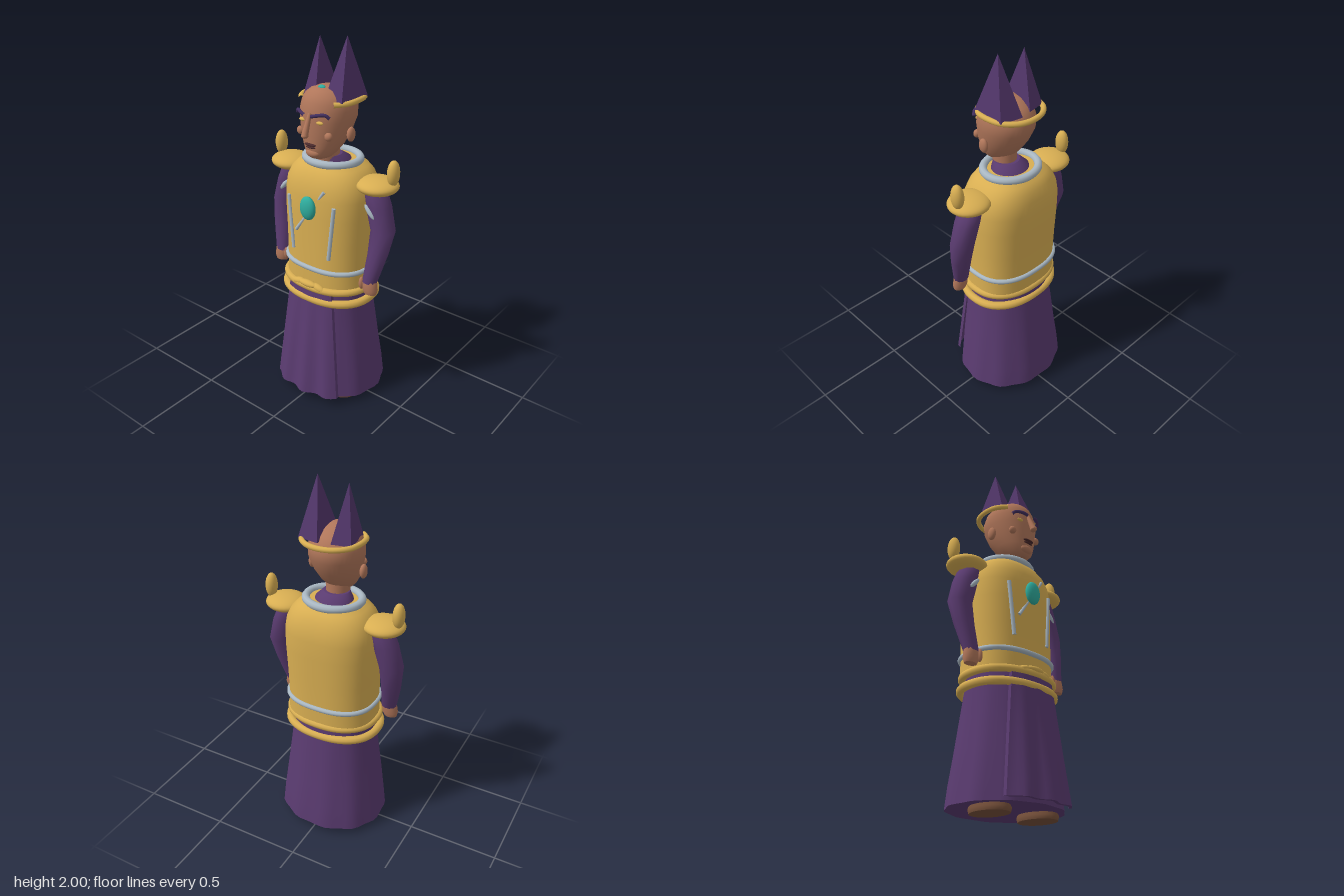
import * as THREE from 'three';

const mat = (name, color) => {
  const m = new THREE.MeshStandardMaterial({ color });
  m.name = name;
  return m;
};

// Closed body through rings [y, rx, rz, cx, cz], listed upwards; p > 2 squares the outline
function loft(rings, n = 32, p = 2, wave = () => 1) {
  const bottom = rings[0], top = rings[rings.length - 1];
  const cap = (r) => [r[0], 0, 0, r[3], r[4]];
  const all = [cap(bottom), bottom, ...rings, top, cap(top)];
  const pos = [], idx = [];
  const pw = (v) => Math.sign(v) * Math.abs(v) ** (2 / p);
  all.forEach(([y, rx, rz, cx = 0, cz = 0], j) => {
    for (let i = 0; i < n; i++) {
      const a = (i / n) * Math.PI * 2, w = wave(a, y);
      pos.push(cx + rx * w * pw(Math.cos(a)), y, cz + rz * w * pw(Math.sin(a)));
      if (j === all.length - 1) continue;
      const k = (i + 1) % n, b = j * n, t = b + n;
      idx.push(b + i, t + i, b + k, b + k, t + i, t + k);
    }
  });
  const g = new THREE.BufferGeometry();
  g.setAttribute('position', new THREE.Float32BufferAttribute(pos, 3));
  g.setIndex(idx);
  g.computeVertexNormals();
  return g;
}

export function createModel() {
  const model = new THREE.Group();
  model.name = 'robedFigure';
  const purple = mat('purpleCloth', 0x5a3b70);
  const horn = mat('darkPurple', 0x52366a);
  horn.flatShading = true;
  const gold = mat('gold', 0xd8ae52);
  const skin = mat('skin', 0xb0765a);
  const silver = mat('silver', 0xa9b7c2);
  const teal = mat('teal', 0x2fae9f);
  const sole = mat('brownLeather', 0x76503a);
  const brow = mat('browPurple', 0x43305f);
  const dark = mat('mouthDark', 0x4a2a2c);

  const add = (name, geo, m, x = 0, y = 0, z = 0) => {
    const mesh = new THREE.Mesh(geo, m);
    mesh.name = name;
    mesh.position.set(x, y, z);
    model.add(mesh);
    return mesh;
  };
  const ball = (name, m, x, y, z, rx, ry, rz, seg = 24) => {
    const b = add(name, new THREE.SphereGeometry(1, seg, Math.ceil(seg * 0.67)), m, x, y, z);
    b.scale.set(rx, ry, rz);
    return b;
  };
  const v = (a) => new THREE.Vector3(...a);
  const bar = (name, m, a, b, r, r2 = r) => {
    const A = v(a), B = v(b), d = B.clone().sub(A);
    const mesh = add(name, new THREE.CylinderGeometry(r2, r, d.length(), 10), m);
    mesh.position.copy(A).add(B).multiplyScalar(0.5);
    mesh.quaternion.setFromUnitVectors(new THREE.Vector3(0, 1, 0), d.normalize());
    return mesh;
  };
  const tube = (name, m, pts, r, closed = false) =>
    add(name, new THREE.TubeGeometry(new THREE.CatmullRomCurve3(pts.map(v), closed), 64, r, 10, closed), m);
  // Horizontal ring following a (squared) ellipse
  const ring = (name, m, y, rx, rz, cz, r, p = 2) => {
    const pts = [];
    for (let i = 0; i < 32; i++) {
      const a = (i / 32) * Math.PI * 2, c = Math.cos(a), s = Math.sin(a);
      pts.push([rx * Math.sign(c) * Math.abs(c) ** (2 / p), y, cz + rz * Math.sign(s) * Math.abs(s) ** (2 / p)]);
    }
    return tube(name, m, pts, r, true);
  };

  // Skirt with soft folds that grow towards the hem
  add('skirt', loft([
    [0.035, 0.305, 0.265, 0, -0.02], [0.15, 0.292, 0.257, 0, -0.018], [0.3, 0.273, 0.24, 0, -0.012],
    [0.45, 0.253, 0.224, 0, -0.01], [0.6, 0.235, 0.208, 0, -0.005], [0.7, 0.228, 0.198, 0, -0.005],
  ], 48, 2.1, (a, y) => 1 + 0.018 * (1 - y / 0.75) * Math.cos(11 * a + 1)), purple);

  // Front panel: a thin sheet that widens, bows and ripples downwards
  const panel = new THREE.BoxGeometry(2, 1, 0.02, 20, 8, 1);
  const pp = panel.attributes.position;
  for (let i = 0; i < pp.count; i++) {
    const u = pp.getX(i), t = 0.5 - pp.getY(i);
    const z = 0.188 + 0.08 * t - (0.025 + 0.03 * t) * u * u + 0.012 * t * Math.cos(9 * u - 0.8);
    pp.setXYZ(i, u * (0.14 + 0.075 * t), 0.7 - 0.65 * t, z + pp.getZ(i));
  }
  panel.computeVertexNormals();
  add('frontPanel', panel, purple);

  // Torso armour
  add('torso', loft([
    [0.7, 0.25, 0.195, 0, -0.015], [0.8, 0.245, 0.195, 0, -0.015], [0.95, 0.248, 0.196, 0, -0.018],
    [1.1, 0.254, 0.2, 0, -0.02], [1.2, 0.253, 0.2, 0, -0.022], [1.26, 0.243, 0.192, 0, -0.022],
    [1.31, 0.218, 0.175, 0, -0.022], [1.345, 0.185, 0.152, 0, -0.022], [1.37, 0.14, 0.12, 0, -0.02],
  ], 48, 2.5), gold);
  ring('waistBand', silver, 0.8, 0.246, 0.197, -0.015, 0.014, 2.5);
  ring('upperBelt', gold, 0.69, 0.248, 0.198, -0.005, 0.02, 2.3);
  ring('lowerBelt', gold, 0.622, 0.257, 0.2, -0.005, 0.022, 2.3);
  ball('beltKnot', gold, 0, 0.71, 0.195, 0.06, 0.018, 0.022);
  for (const s of [1, -1]) ball('beltKnotLoop', gold, s * 0.065, 0.702, 0.188, 0.045, 0.019, 0.02).rotation.z = -s * 0.2;

  // Collar and neck
  ring('collar', silver, 1.372, 0.148, 0.13, -0.02, 0.021);
  add('neck', loft([[1.33, 0.115, 0.1, 0, -0.02], [1.375, 0.1, 0.09, 0, -0.015], [1.405, 0.07, 0.065, 0, 0.01]]), purple);
  add('throat', loft([[1.36, 0.06, 0.06, 0, 0.02], [1.47, 0.065, 0.07, 0, 0.03]]), skin);

  // Chest ornaments
  for (const s of [1, -1]) bar('chestBar', silver, [s * 0.118, 0.88, 0.166], [s * 0.148, 1.18, 0.16], 0.011);
  bar('diagonalRod', silver, [-0.09, 1.0, 0.176], [0.09, 1.255, 0.164], 0.009);
  ball('chestGem', teal, 0, 1.15, 0.187, 0.048, 0.065, 0.027);

  // Head
  add('head', loft([
    [1.402, 0.035, 0.04, 0, 0.085], [1.41, 0.055, 0.062, 0, 0.08], [1.43, 0.075, 0.085, 0, 0.07],
    [1.47, 0.1, 0.11, 0, 0.05], [1.53, 0.124, 0.133, 0, 0.03], [1.6, 0.141, 0.15, 0, 0.014],
    [1.65, 0.142, 0.15, 0, 0.01], [1.69, 0.132, 0.138, 0, 0.012], [1.72, 0.112, 0.118, 0, 0.018],
    [1.745, 0.078, 0.085, 0, 0.025], [1.758, 0.035, 0.04, 0, 0.03], [1.76, 0.01, 0.01, 0, 0.03],
  ], 40), skin);
  bar('nose', skin, [0, 1.54, 0.203], [0, 1.645, 0.16], 0.018, 0.01);
  ball('noseTip', skin, 0, 1.543, 0.2, 0.018, 0.014, 0.02);
  ball('chin', skin, 0, 1.438, 0.14, 0.042, 0.024, 0.024);
  ball('upperLip', dark, 0, 1.486, 0.161, 0.036, 0.007, 0.012);
  ball('lowerLip', dark, 0, 1.472, 0.157, 0.03, 0.006, 0.012);
  ball('foreheadGem', teal, 0, 1.754, 0.067, 0.022, 0.012, 0.015);
  for (const s of [1, -1]) {
    ball('ear', skin, s * 0.145, 1.533, 0.02, 0.018, 0.038, 0.027);
    ball('cheek', skin, s * 0.088, 1.535, 0.127, 0.022, 0.022, 0.018);
    ball('eye', gold, s * 0.054, 1.604, 0.152, 0.021, 0.009, 0.01);
    tube('eyebrow', brow, [[s * 0.1, 1.632, 0.135], [s * 0.085, 1.647, 0.148], [s * 0.05, 1.645, 0.17], [s * 0.02, 1.637, 0.178]], 0.009);
  }

  // Open headband running round the back of the head
  tube('headband', gold, [[-0.1, 1.69, 0.105], [-0.14, 1.692, 0.055], [-0.152, 1.695, -0.02], [-0.135, 1.695, -0.1],
    [-0.08, 1.693, -0.152], [0, 1.692, -0.17], [0.08, 1.693, -0.152], [0.135, 1.695, -0.1],
    [0.152, 1.695, -0.02], [0.14, 1.692, 0.055], [0.1, 1.69, 0.105]], 0.014);

  // Four-sided horns: apex, then base corners (back outer, back inner, front inner, front outer)
  const makeHorn = (name, apex, corners) => {
    const g = new THREE.ConeGeometry(1, 1, 4, 1, true).toNonIndexed();
    const p = g.attributes.position;
    for (let i = 0; i < p.count; i++) {
      if (p.getY(i) > 0) { p.setXYZ(i, ...apex); continue; }
      // Cone base points lie on the axes: +z, +x, -z, -x
      const x = p.getX(i), z = p.getZ(i);
      const k = z > 0.5 ? 0 : x > 0.5 ? 1 : z < -0.5 ? 2 : 3;
      p.setXYZ(i, corners[k][0], 1.7, corners[k][1]);
    }
    g.computeVertexNormals();
    add(name, g, horn);
  };
  makeHorn('leftHorn', [0.085, 2.0, -0.022], [[0.025, 0.082], [0.137, 0.087], [0.15, -0.107], [0.03, -0.13]]);
  makeHorn('rightHorn', [-0.083, 1.98, -0.022], [[-0.115, 0.072], [-0.038, 0.072], [-0.034, -0.115], [-0.136, -0.097]]);

  for (const s of [1, -1]) {
    // Shoulder guards
    ball('shoulderGuard', gold, s * 0.285, 1.285, -0.02, 0.112, 0.044, 0.108, 32);
    ball('shoulderKnob', gold, s * 0.368, 1.365, -0.033, 0.031, 0.068, 0.037);
    // Sleeves, bent at the elbow
    add('sleeve', loft([
      [0.765, 0.042, 0.036, s * 0.302, 0.05], [0.92, 0.056, 0.05, s * 0.324, 0.015],
      [1.05, 0.066, 0.062, s * 0.333, -0.012], [1.18, 0.066, 0.068, s * 0.298, -0.018],
      [1.25, 0.058, 0.066, s * 0.275, -0.02], [1.28, 0.035, 0.045, s * 0.265, -0.02],
    ], 10), purple);
    const band = ball('armOrnament', silver, s * 0.285, 1.16, 0.044, 0.013, 0.045, 0.013);
    band.rotation.z = s * 0.72;
    // Hands
    add('hand', loft([
      [0.7, 0.036, 0.026, s * 0.31, 0.055], [0.725, 0.044, 0.034, s * 0.308, 0.054],
      [0.765, 0.042, 0.033, s * 0.304, 0.052], [0.8, 0.034, 0.03, s * 0.304, 0.047],
    ], 14), skin);
    ball('thumb', skin, s * 0.263, 0.752, 0.07, 0.014, 0.036, 0.016, 14);
    // Feet
    add('foot', loft([
      [0, 0.085, 0.112, s * 0.16, 0.042], [0.02, 0.09, 0.118, s * 0.16, 0.042], [0.06, 0.075, 0.1, s * 0.16, 0.038],
    ], 24), sole);
  }
  return model;
}
